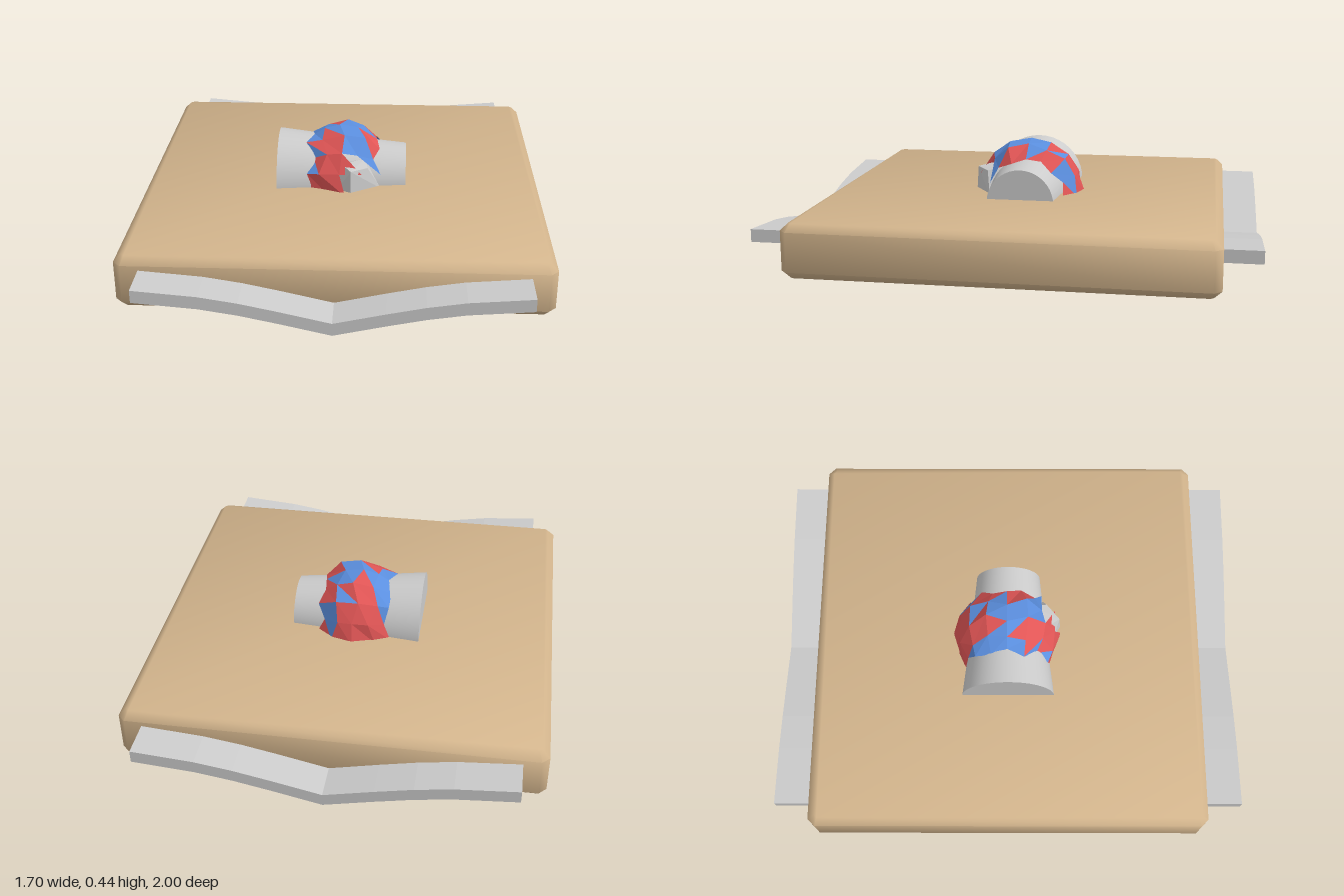
import * as THREE from 'three';
import { toCreasedNormals } from 'three/addons/utils/BufferGeometryUtils.js';
import { ConvexGeometry } from 'three/addons/geometries/ConvexGeometry.js';

const TAN = 0xd2b48c, RED = 0xe05555, BLUE = 0x5b8fdf, GREY = 0xcccccc;
const AXIS_Y = 0.21; // height of the roll's axis

function addMesh(parent, name, geometry, color = GREY, options = {}) {
  const mesh = new THREE.Mesh(geometry, new THREE.MeshStandardMaterial({ color, ...options }));
  mesh.name = name;
  parent.add(mesh);
  return mesh;
}

// Square slab with chamfered edges and corners
function slabGeometry(half, bottom, top, cut) {
  const a = half - cut;
  const outline = new THREE.Shape([
    [half, -a], [half, a], [a, half], [-a, half],
    [-half, a], [-half, -a], [-a, -half], [a, -half],
  ].map(([x, y]) => new THREE.Vector2(x, y)));
  const geometry = new THREE.ExtrudeGeometry(outline, {
    depth: top - bottom - 2 * cut, bevelEnabled: true, bevelSegments: 1,
    bevelSize: cut, bevelThickness: cut, bevelOffset: -cut,
  });
  geometry.rotateX(-Math.PI / 2).translate(0, bottom + cut, 0);
  return toCreasedNormals(geometry, 0.87);
}

// V-shaped strip with gently curved arms
function stripGeometry(depth) {
  const path = [[0, 0.002], [0.2, 0.048], [0.35, 0.08], [0.5, 0.104], [0.75, 0.125]];
  const lower = [...path.slice(1).reverse().map(([x, y]) => [-x, y]), ...path];
  const upper = lower.map(([x, y]) => [x, y + 0.052]).reverse();
  const shape = new THREE.Shape([...lower, ...upper].map(([x, y]) => new THREE.Vector2(x, y)));
  return new THREE.ExtrudeGeometry(shape, { depth, bevelEnabled: false });
}

// Half cylinder lying along x
function halfRoll(x0, r0, x1, r1) {
  const geometry = new THREE.CylinderGeometry(r0, r1, x1 - x0, 20, 1, false, 0, Math.PI);
  geometry.rotateZ(Math.PI / 2).translate((x0 + x1) / 2, AXIS_Y, 0);
  return geometry;
}

// Faceted wrap: rows run from front to back over the roll, two triangles per cell
function wrapGeometries() {
  const stations = [[-0.14, 0.187], [-0.08, 0.216], [0, 0.234], [0.08, 0.222], [0.15, 0.167]];
  const pattern = [
    'RRRR....', 'BRRRR..B', 'BRRRBBBR', 'BBRBBBRR',
    'BBBRBBBR', 'BBRRRBRR', 'BRRRRRBB', 'RRRRRRBR',
  ];
  const point = (row, col) => {
    const [x, r] = stations[col];
    const angle = (row / pattern.length) * Math.PI;
    const wobble = Math.sin(row * 2.3 + col * 4.1);
    const radius = r + (row === 4 ? 0 : 0.008 * wobble);
    return [x + 0.018 * Math.sin(row * 3.7 + col), AXIS_Y + radius * Math.sin(angle), radius * Math.cos(angle) - 0.005];
  };
  const faces = { R: [], B: [], '.': [] };
  pattern.forEach((line, row) => {
    for (let col = 0; col < 4; col++) {
      const a = point(row, col), b = point(row, col + 1);
      const c = point(row + 1, col + 1), d = point(row + 1, col);
      faces[line[col * 2]].push(...a, ...b, ...d);
      faces[line[col * 2 + 1]].push(...b, ...c, ...d);
    }
  });
  return ['R', 'B'].map((key) => {
    const geometry = new THREE.BufferGeometry();
    geometry.setAttribute('position', new THREE.Float32BufferAttribute(faces[key], 3));
    geometry.computeVertexNormals();
    return geometry;
  });
}

export function createModel() {
  const model = new THREE.Group();
  model.name = 'model';

  addMesh(model, 'slab', slabGeometry(0.85, 0.005, 0.225, 0.03), TAN);

  // Strips along the front and back edges
  addMesh(model, 'frontStrip', stripGeometry(0.18)).position.z = 0.82;
  addMesh(model, 'backStrip', stripGeometry(0.18)).position.z = -1;

  // Roll with a larger and a smaller end
  const roll = new THREE.Group();
  roll.name = 'roll';
  model.add(roll);
  addMesh(roll, 'largeRollEnd', halfRoll(-0.28, 0.202, 0, 0.168));
  addMesh(roll, 'smallRollEnd', halfRoll(0, 0.17, 0.275, 0.143));

  // Two-colour wrap around the middle
  const [red, blue] = wrapGeometries();
  const wrapStyle = { flatShading: true, side: THREE.DoubleSide };
  addMesh(roll, 'redWrap', red, RED, wrapStyle);
  addMesh(roll, 'blueWrap', blue, BLUE, wrapStyle);

  // Angular lump showing through the gap in the wrap
  const lump = [
    [-0.03, 0.21, 0.195], [0.04, 0.21, 0.232], [0.17, 0.21, 0.15], [0.04, 0.32, 0.225],
    [0.11, 0.315, 0.17], [0, 0.33, 0.17], [0.1, 0.33, 0.1], [-0.03, 0.3, 0.1], [0.1, 0.21, 0.08],
  ].map((p) => new THREE.Vector3(...p));
  addMesh(roll, 'lump', new ConvexGeometry(lump), GREY, { flatShading: true });

  return model;
}
